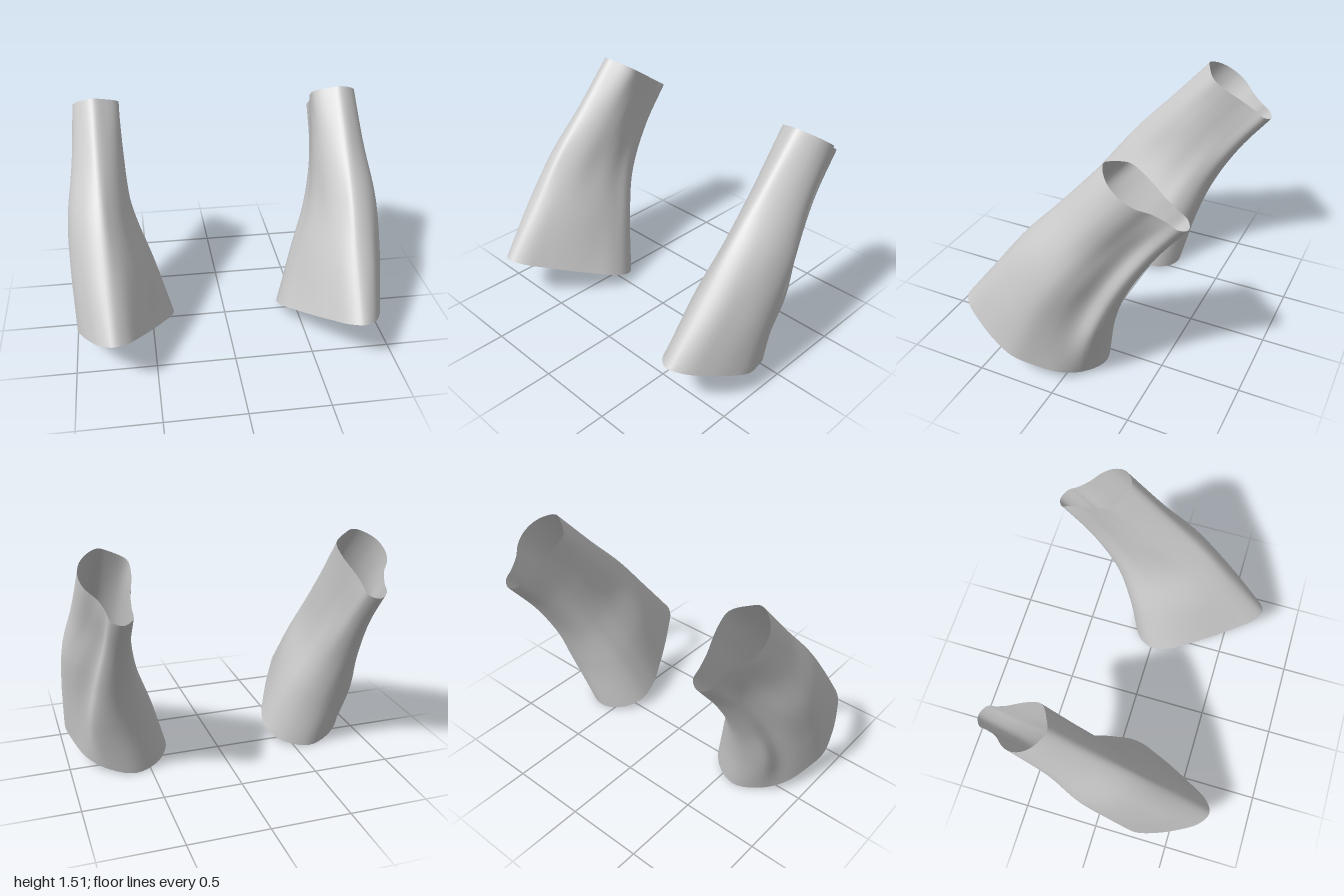
import * as THREE from 'three';

// Fractions from the front edge to the back edge of each cross-section
const STOPS = [0, 0.05, 0.18, 0.35, 0.5, 0.65, 0.8, 0.93, 1];

// Cross-sections, hem to top: front and back edge as [z, y], then x of the
// outer side (front to back) and of the inner side (between the two edges)
const SECTIONS = [
  { front: [0.72, 0.35], back: [-0.17, 0],
    outer: [0.75, 0.83, 0.90, 0.96, 0.985, 0.95, 0.89, 0.77, 0.60],
    inner: [0.67, 0.59, 0.50, 0.43, 0.37, 0.36, 0.44] },
  { front: [0.47, 0.67], back: [-0.25, 0.36],
    outer: [0.76, 0.86, 0.93, 0.985, 0.995, 0.95, 0.88, 0.86, 0.68],
    inner: [0.69, 0.61, 0.54, 0.50, 0.475, 0.47, 0.54] },
  { front: [0.25, 0.95], back: [-0.36, 0.66],
    outer: [0.77, 0.86, 0.94, 0.985, 0.99, 0.94, 0.85, 0.84, 0.74],
    inner: [0.72, 0.65, 0.61, 0.585, 0.58, 0.58, 0.63] },
  { front: [0.0, 1.22], back: [-0.53, 0.96],
    outer: [0.78, 0.84, 0.91, 0.945, 0.93, 0.87, 0.81, 0.81, 0.74],
    inner: [0.72, 0.65, 0.62, 0.62, 0.635, 0.65, 0.67] },
  { front: [-0.26, 1.51], back: [-0.72, 1.21],
    outer: [0.78, 0.84, 0.90, 0.92, 0.90, 0.845, 0.815, 0.80, 0.74],
    inner: [0.72, 0.635, 0.63, 0.645, 0.665, 0.675, 0.68] },
];

const ROWS = 40;
const SIDES = 72;

// Control loop of one section: front, outer side, back, inner side
function sectionLoop({ front, back, outer, inner }) {
  const at = (s, x) => new THREE.Vector3(
    x,
    THREE.MathUtils.lerp(front[1], back[1], s),
    THREE.MathUtils.lerp(front[0], back[0], s));
  const outside = outer.map((x, i) => at(STOPS[i], x));
  const inside = inner.map((x, i) => at(STOPS[i + 1], x)).reverse();
  return [...outside, ...inside];
}

// Open, flared tube lofted through the sections; side is 1 (left) or -1 (right)
function sleeveGeometry(side) {
  const loops = SECTIONS.map(sectionLoop);
  const rails = loops[0].map((_, j) => new THREE.CatmullRomCurve3(loops.map((l) => l[j])));
  const positions = [];
  const indices = [];
  for (let i = 0; i <= ROWS; i++) {
    const ring = new THREE.CatmullRomCurve3(rails.map((r) => r.getPoint(i / ROWS)), true);
    for (let j = 0; j < SIDES; j++) {
      const p = ring.getPoint(j / SIDES);
      positions.push(side * p.x, Math.max(0, p.y), p.z);
    }
  }
  for (let i = 0; i < ROWS; i++) {
    for (let j = 0; j < SIDES; j++) {
      const k = (j + 1) % SIDES;
      const a = i * SIDES + j, b = i * SIDES + k;
      const c = a + SIDES, d = b + SIDES;
      if (side > 0) indices.push(a, b, d, a, d, c);
      else indices.push(a, d, b, a, c, d);
    }
  }
  const geometry = new THREE.BufferGeometry();
  geometry.setAttribute('position', new THREE.Float32BufferAttribute(positions, 3));
  geometry.setIndex(indices);
  geometry.computeVertexNormals();
  return geometry;
}

export function createModel() {
  const group = new THREE.Group();
  group.name = 'sleevePair';
  const cloth = new THREE.MeshStandardMaterial({ color: 0xcccccc, side: THREE.DoubleSide });
  cloth.name = 'lightGreyCloth';

  // Mirrored pair of sleeves
  for (const side of [1, -1]) {
    const sleeve = new THREE.Mesh(sleeveGeometry(side), cloth);
    sleeve.name = side > 0 ? 'leftSleeve' : 'rightSleeve';
    group.add(sleeve);
  }
  return group;
}
